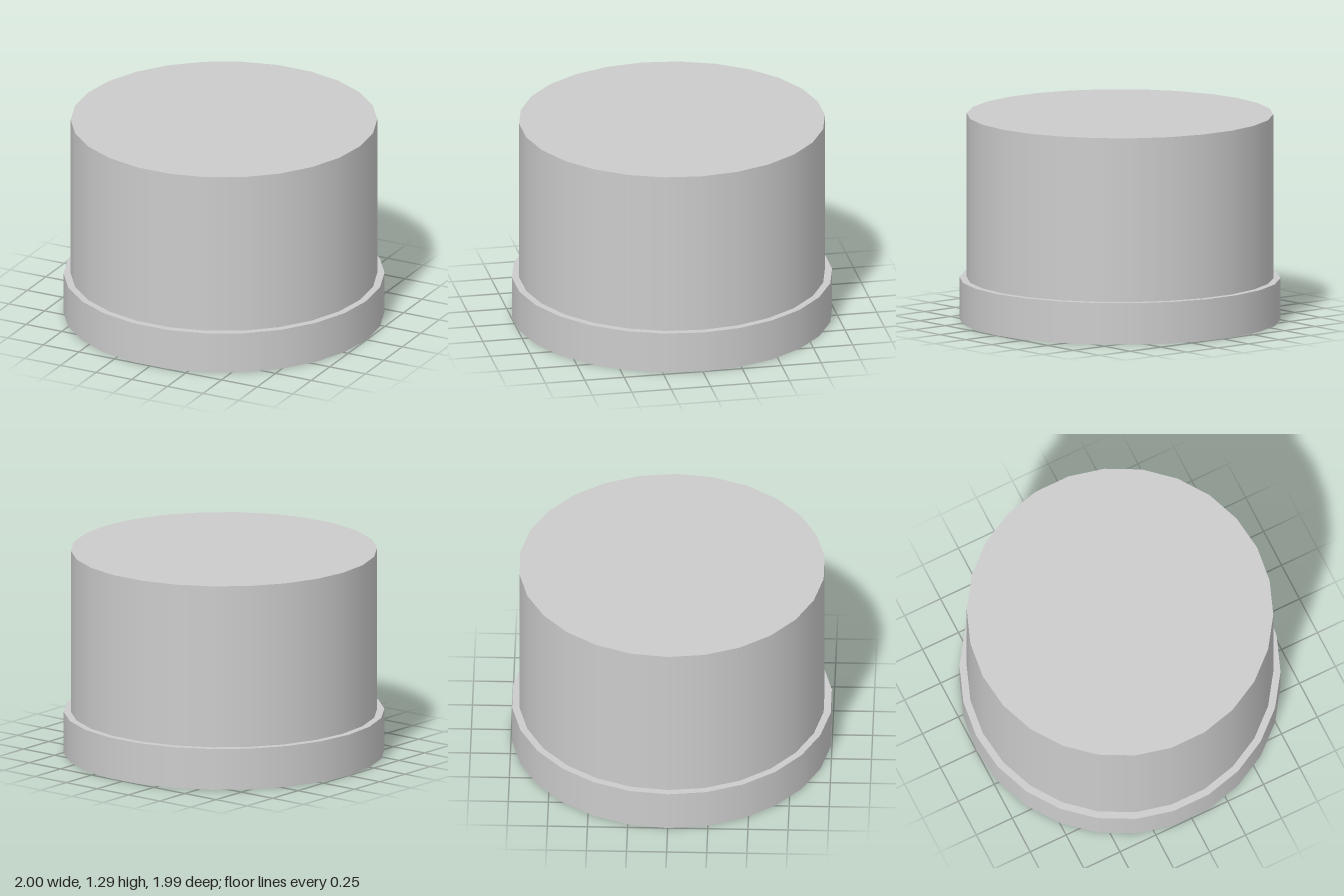
import * as THREE from 'three';
import { mergeGeometries } from 'three/addons/utils/BufferGeometryUtils.js';

const SIDES = 26;
const OUTER = 0.955, INNER = 0.94, FLANGE = 1;
const HEIGHT = 1.295, CEILING = 1.28, STEP = 0.262;

// Revolves each profile segment separately: smooth around, sharp between segments.
function revolve(name, profile, material) {
  const bands = [];
  for (let i = 0; i < profile.length - 1; i++) {
    const pair = [profile[i], profile[i + 1]].map(([r, y]) => new THREE.Vector2(r, y));
    bands.push(new THREE.LatheGeometry(pair, SIDES, Math.PI / 2));
  }
  const mesh = new THREE.Mesh(mergeGeometries(bands), material);
  mesh.name = name;
  return mesh;
}

export function createModel() {
  const group = new THREE.Group();
  group.name = 'cap';
  const material = new THREE.MeshStandardMaterial({ color: 0xcccccc });

  // Hollow interior: flat ceiling and straight inner wall
  group.add(revolve('innerShell', [[0, CEILING], [INNER, CEILING], [INNER, 0]], material));

  // Thicker band around the open end
  group.add(revolve('rimBand', [[INNER, 0], [FLANGE, 0], [FLANGE, STEP], [OUTER, STEP]], material));

  // Outer wall and closed top
  group.add(revolve('outerShell', [[OUTER, STEP], [OUTER, HEIGHT], [0, HEIGHT]], material));

  return group;
}
